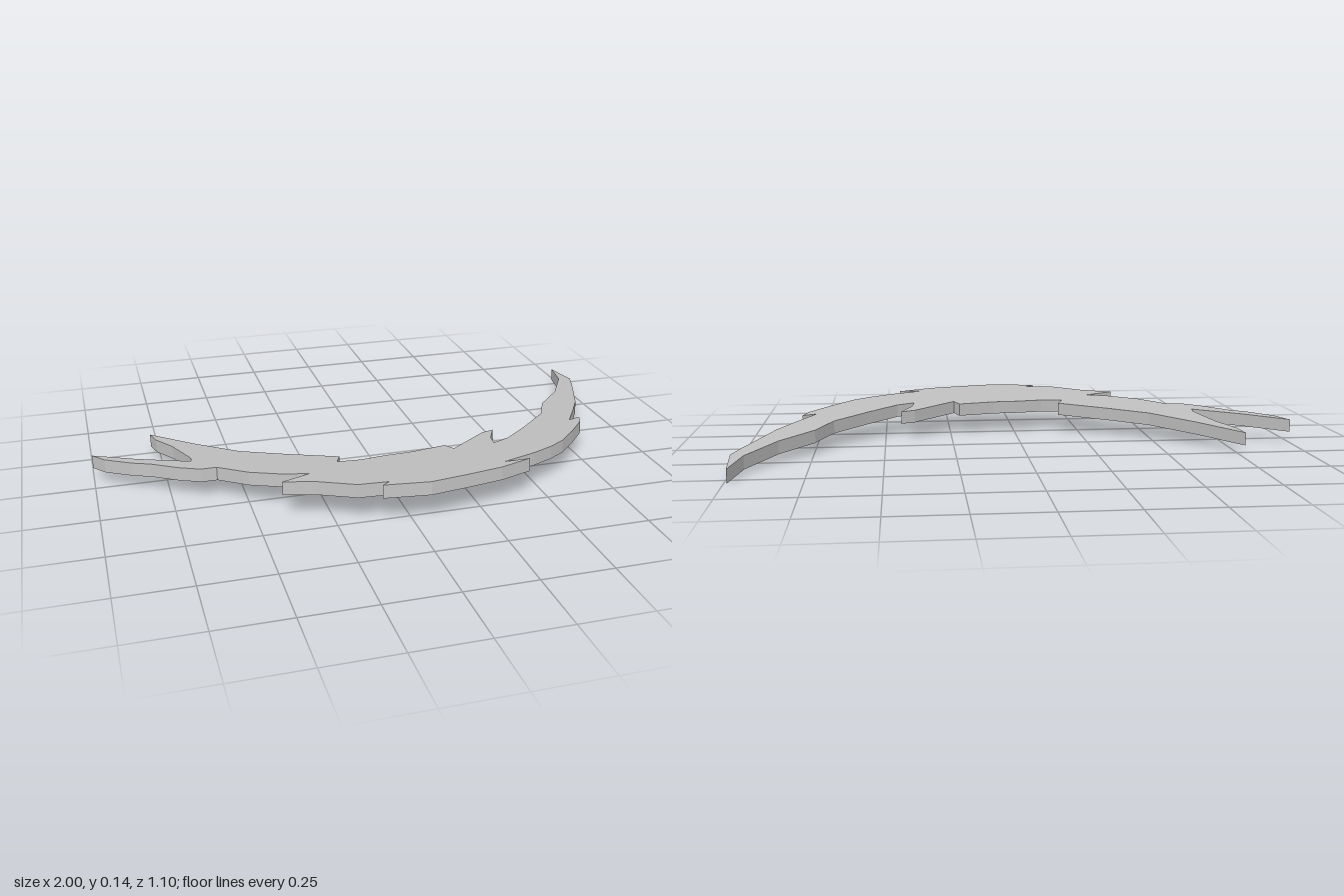
import * as THREE from 'three';

const TILT = THREE.MathUtils.degToRad(5);
const THICKNESS = 0.047;

// Plan outline as [x, z], running from the long tip around the outer edge
const outerEdge = [
  [0.99, -0.55], [1.0, -0.39], [0.97, -0.31], [0.88, -0.09], [0.815, 0.02], [0.755, 0.115],
  [0.805, 0.095], [0.785, 0.145], [0.71, 0.235], [0.63, 0.32], [0.565, 0.365], [0.485, 0.405], [0.35, 0.455],
  [0.445, 0.453], [0.325, 0.5], [0.19, 0.527], [0.055, 0.55], [-0.105, 0.527],
  [-0.075, 0.503], [-0.18, 0.495], [-0.3, 0.425], [-0.41, 0.388],
  [-0.305, 0.343], [-0.39, 0.32], [-0.5, 0.262], [-0.595, 0.178], [-0.65, 0.178],
  [-0.72, 0.138], [-0.81, 0.068], [-0.87, 0.037], [-0.96, -0.03], [-1.0, -0.09],
];
// Inner edge, from the forked end back to the long tip
const innerEdge = [
  [-0.85, 0.0], [-0.67, 0.088], [-0.668, 0.055], [-0.715, -0.09], [-0.765, -0.185], [-0.78, -0.255],
  [-0.64, -0.1], [-0.495, 0.04], [-0.345, 0.125], [-0.17, 0.215],
  [-0.19, 0.262], [-0.11, 0.27], [-0.01, 0.257], [0.08, 0.253], [0.215, 0.228],
  [0.235, 0.27], [0.39, 0.143], [0.44, 0.125], [0.4, 0.205], [0.39, 0.26],
  [0.455, 0.23], [0.565, 0.13], [0.685, 0.01], [0.745, -0.11], [0.86, -0.24], [0.955, -0.405],
];

export function createModel() {
  const model = new THREE.Group();
  const grey = new THREE.MeshStandardMaterial({ color: 0xbfbfbf });
  grey.name = 'light grey';

  // Jagged crescent blade: outline extruded downward from its top face
  const points = [...outerEdge, ...innerEdge].map(([x, z]) => new THREE.Vector2(x, z / Math.cos(TILT)));
  const geometry = new THREE.ExtrudeGeometry(new THREE.Shape(points), { depth: THICKNESS, bevelEnabled: false });
  geometry.rotateX(Math.PI / 2);

  // Tilted so the front edge sits higher than the tips
  geometry.rotateX(-TILT);
  geometry.computeBoundingBox();
  geometry.translate(0, -geometry.boundingBox.min.y, 0);

  const blade = new THREE.Mesh(geometry, grey);
  blade.name = 'crescentBlade';
  model.add(blade);
  return model;
}
